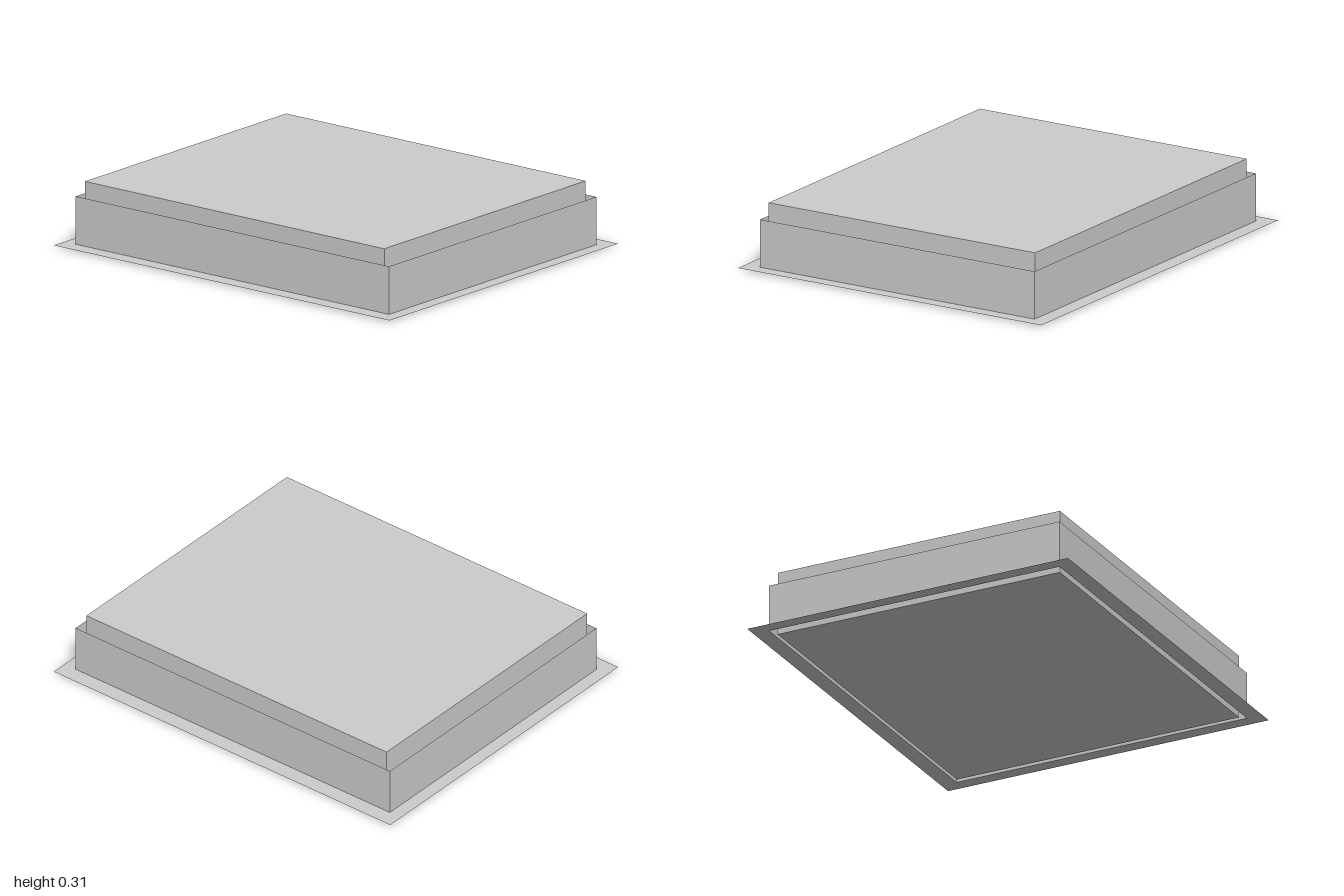
import * as THREE from 'three';

const material = new THREE.MeshStandardMaterial({ color: 0xcccccc, flatShading: true, side: THREE.DoubleSide });

// Corners of a centred rectangle, counter-clockwise
function corners(w, d) {
  return [[-w, -d], [w, -d], [w, d], [-w, d]].map(([x, z]) => new THREE.Vector2(x / 2, z / 2));
}

export function createModel() {
  const model = new THREE.Group();
  model.name = 'roofHatch';
  const body = new THREE.Group();
  body.name = 'hatchBody';
  body.rotation.y = 0.0445;
  model.add(body);

  const add = (name, geometry, x, y, z) => {
    const mesh = new THREE.Mesh(geometry, material);
    mesh.name = name;
    mesh.position.set(x, y, z);
    body.add(mesh);
    return mesh;
  };

  const baseY = 0.01, curbTop = 0.232;
  const curbW = 1.46, curbD = 1.802;

  // Thin flat flange around the curb, open in the middle
  const ring = new THREE.Shape(corners(1.612, 1.93));
  ring.holes.push(new THREE.Path(corners(curbW, curbD).reverse()));
  add('flange', new THREE.ShapeGeometry(ring).rotateX(-Math.PI / 2), 0, baseY, 0);

  // Four thin upright curb walls, open above and below
  const h = curbTop - baseY, midY = (curbTop + baseY) / 2;
  for (const s of [1, -1]) {
    add(s > 0 ? 'frontCurbWall' : 'backCurbWall', new THREE.PlaneGeometry(curbW, h), 0, midY, s * curbD / 2)
      .rotation.y = s > 0 ? 0 : Math.PI;
    add(s > 0 ? 'leftCurbWall' : 'rightCurbWall', new THREE.PlaneGeometry(curbD, h), s * curbW / 2, midY, 0)
      .rotation.y = s * Math.PI / 2;
  }

  // Solid panel standing inside the curb with a narrow gap all round
  add('panel', new THREE.BoxGeometry(1.418, 0.302, 1.722), -0.003, 0.153, -0.002).rotation.set(0.001, 0, 0.001);

  // Rest the tilted panel on the ground
  const box = new THREE.Box3().setFromObject(model, true);
  body.position.y = -box.min.y;
  return model;
}
